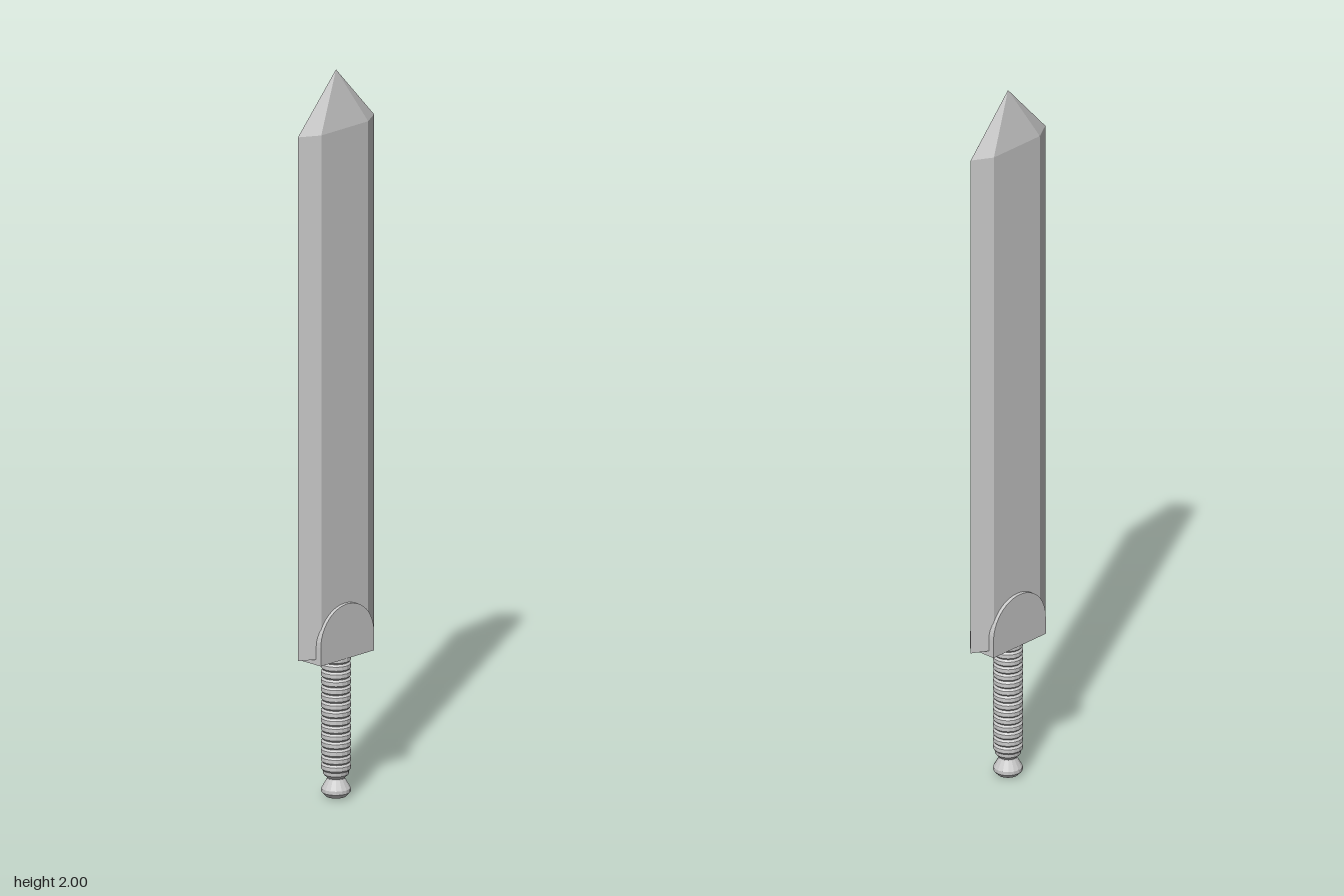
import * as THREE from 'three';

const steel = new THREE.MeshStandardMaterial({ color: 0xcccccc, flatShading: true });

function addPart(group, name, geometry) {
  const mesh = new THREE.Mesh(geometry, steel);
  mesh.name = name;
  group.add(mesh);
}

// Hexagonal blade section, lofted straight up and closed to a point
function bladeGeometry() {
  const section = [[0, 0.143], [0.032, 0.088], [0.032, -0.088], [0, -0.143], [-0.032, -0.088], [-0.032, 0.088]];
  const bottom = 0.405, shoulder = 1.845, tip = 2;
  const positions = [];
  section.forEach(([x0, z0], i) => {
    const [x1, z1] = section[(i + 1) % section.length];
    const a = [x0, bottom, z0], b = [x1, bottom, z1];
    const c = [x1, shoulder, z1], d = [x0, shoulder, z0];
    positions.push(...a, ...b, ...c, ...a, ...c, ...d);
    positions.push(...d, ...c, 0, tip, 0);
    positions.push(...b, ...a, 0, bottom, 0);
  });
  const geometry = new THREE.BufferGeometry();
  geometry.setAttribute('position', new THREE.Float32BufferAttribute(positions, 3));
  geometry.computeVertexNormals();
  return geometry;
}

// Round-topped block clasping the blade root
function guardGeometry() {
  const width = 0.084;
  const shape = new THREE.Shape();
  shape.moveTo(-0.1, 0.39);
  shape.lineTo(0.1, 0.39);
  shape.lineTo(0.1, 0.44);
  shape.absarc(0, 0.44, 0.1, 0, Math.PI, false);
  shape.closePath();
  const geometry = new THREE.ExtrudeGeometry(shape, { depth: width, bevelEnabled: false, curveSegments: 12 });
  geometry.translate(0, 0, -width / 2);
  geometry.rotateY(Math.PI / 2);
  return geometry;
}

// Ribbed grip profile
function gripGeometry() {
  const ribs = 15, bottom = 0.075, top = 0.395;
  const pitch = (top - bottom) / ribs;
  const points = [new THREE.Vector2(0.024, 0.055), new THREE.Vector2(0.034, 0.065)];
  for (let i = 0; i < ribs; i++) {
    const y = bottom + i * pitch;
    points.push(
      new THREE.Vector2(0.035, y),
      new THREE.Vector2(0.04, y + pitch * 0.25),
      new THREE.Vector2(0.04, y + pitch * 0.75)
    );
  }
  points.push(new THREE.Vector2(0.035, top));
  return new THREE.LatheGeometry(points, 16);
}

// Flared end cap below a narrow neck
function pommelGeometry() {
  const profile = [[0, 0], [0.028, 0.004], [0.039, 0.016], [0.039, 0.026], [0.024, 0.052], [0.024, 0.058]];
  return new THREE.LatheGeometry(profile.map(([r, y]) => new THREE.Vector2(r, y)), 16);
}

export function createModel() {
  const sword = new THREE.Group();
  sword.name = 'sword';
  addPart(sword, 'blade', bladeGeometry());
  addPart(sword, 'guard', guardGeometry());
  addPart(sword, 'grip', gripGeometry());
  addPart(sword, 'pommel', pommelGeometry());
  return sword;
}
